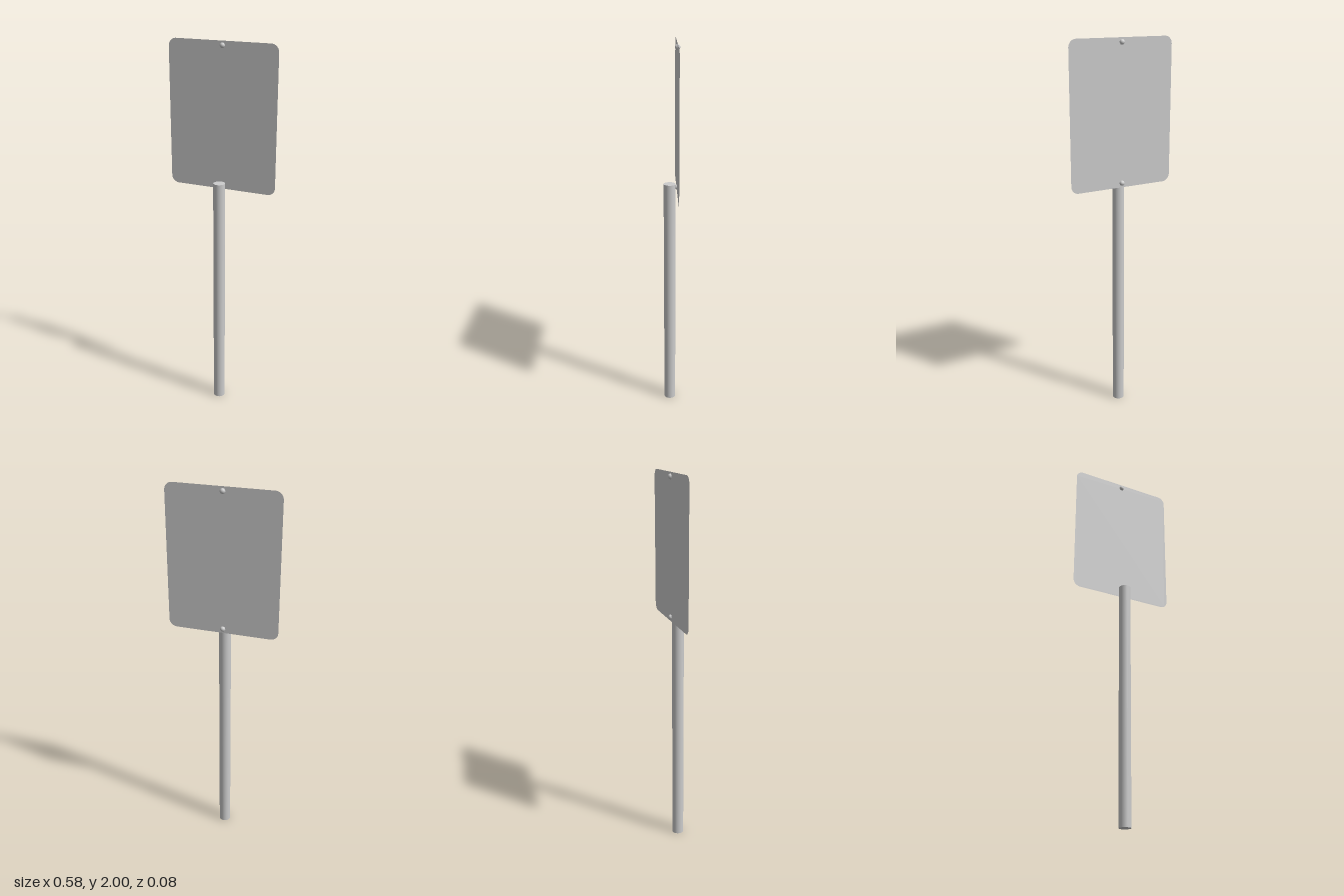
import * as THREE from 'three';

export function createModel() {
  const group = new THREE.Group();
  const material = new THREE.MeshStandardMaterial({ color: 0xcccccc });
  const sheetMaterial = new THREE.MeshStandardMaterial({ color: 0xcccccc, side: THREE.DoubleSide });
  const plateZ = -0.029;

  const add = (name, geometry, mat, x, y, z) => {
    const mesh = new THREE.Mesh(geometry, mat);
    mesh.name = name;
    mesh.position.set(x, y, z);
    group.add(mesh);
  };

  // Round post, capped at both ends
  const postHeight = 1.29;
  add('post', new THREE.CylinderGeometry(0.031, 0.031, postHeight, 48), material, 0, postHeight / 2, 0.009);

  // Thin sign plate with rounded corners
  const w = 0.29, h = 0.375, r = 0.04;
  const outline = new THREE.Shape();
  outline.absarc(w - r, h - r, r, 0, Math.PI / 2);
  outline.absarc(-w + r, h - r, r, Math.PI / 2, Math.PI);
  outline.absarc(-w + r, -h + r, r, Math.PI, Math.PI * 1.5);
  outline.absarc(w - r, -h + r, r, Math.PI * 1.5, Math.PI * 2);
  outline.closePath();
  add('signPlate', new THREE.ShapeGeometry(outline, 10), sheetMaterial, 0, 2 - h, plateZ);

  // Bolts through the plate, near its top and bottom edges
  const boltGeometry = new THREE.SphereGeometry(0.0135, 24, 16);
  add('topBolt', boltGeometry, material, 0, 1.978, -0.03);
  add('bottomBolt', boltGeometry, material, 0, 1.273, -0.03);

  return group;
}
